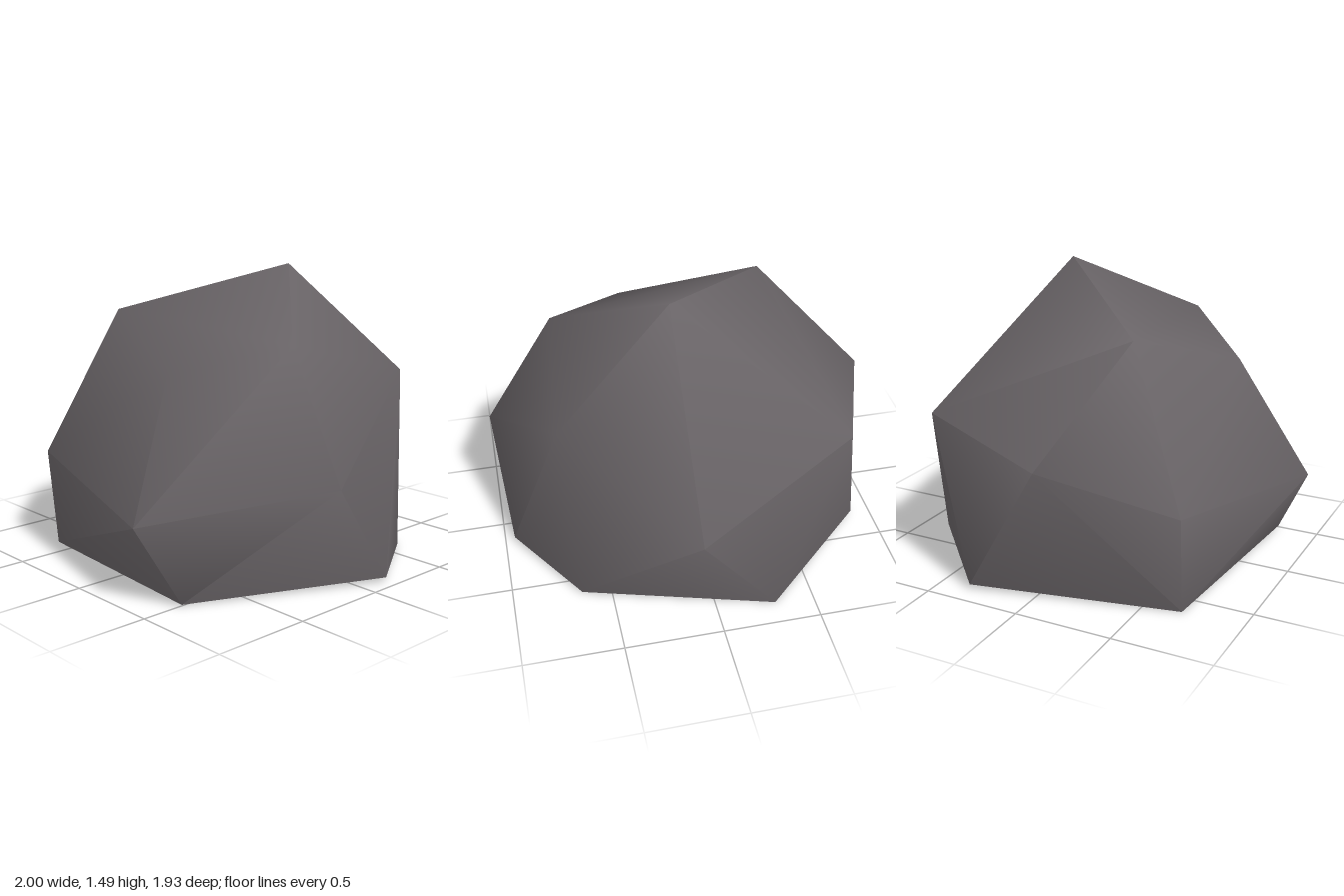
import * as THREE from 'three';
import { ConvexGeometry } from 'three/addons/geometries/ConvexGeometry.js';
import { toCreasedNormals } from 'three/addons/utils/BufferGeometryUtils.js';

// Corner points of the boulder, ring by ring
const base = [
  [0.5, 0.01, 0.78], [0.95, 0.03, -0.14], [0.65, 0.015, -0.6],
  [-0.3, 0.005, -0.87], [-0.89, 0.03, -0.33], [-0.63, 0.005, 0.69],
];
const waist = [
  [0.385, 0.39, 0.965], [1, 0.56, 0.26], [0.1, 0.56, -0.97],
  [-0.72, 0.82, -0.63], [-1, 0.73, 0.11], [-0.69, 0.5, 0.7],
];
const shoulder = [
  [0.22, 1.02, 0.62], [0.64, 1.17, 0.21], [0.71, 0.98, -0.5], [-0.49, 1.25, 0.36],
];
const peak = [[0.12, 1.49, -0.29]];

export function createModel() {
  const group = new THREE.Group();
  group.name = 'rock';

  const stone = new THREE.MeshStandardMaterial({ color: 0x686366 });
  stone.name = 'dark grey stone';

  // Chunky hull, shaded smooth except across its sharp ridges
  const points = [...base, ...waist, ...shoulder, ...peak].map((p) => new THREE.Vector3(...p));
  const hull = toCreasedNormals(new ConvexGeometry(points), THREE.MathUtils.degToRad(60));
  const boulder = new THREE.Mesh(hull, stone);
  boulder.name = 'boulder';
  group.add(boulder);

  return group;
}
